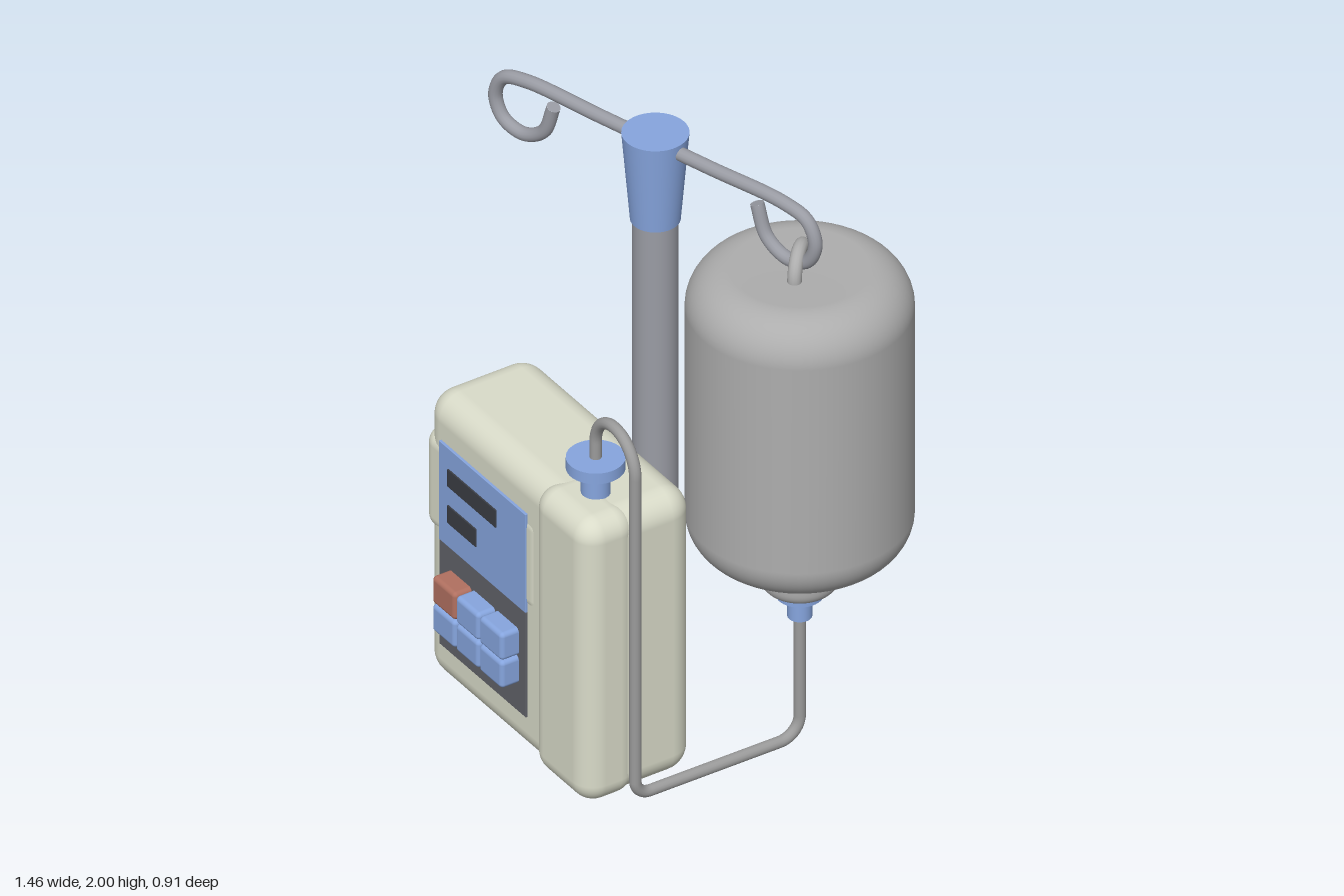
import * as THREE from 'three';
import { RoundedBoxGeometry } from 'three/addons/geometries/RoundedBoxGeometry.js';

const mat = (color) => new THREE.MeshStandardMaterial({ color });
const V = (x, y, z) => new THREE.Vector3(x, y, z);

export function createModel() {
  const model = new THREE.Group();
  const cream = mat(0xd9dbc9), blue = mat(0x86a5de), red = mat(0xb07060);
  const dark = mat(0x606168), black = mat(0x3a3d44);
  const metal = mat(0x9a9ca4), glass = mat(0xadadad), hose = mat(0x9b9b9b);

  function add(parent, name, geometry, material, x = 0, y = 0, z = 0) {
    const mesh = new THREE.Mesh(geometry, material);
    mesh.name = name;
    mesh.position.set(x, y, z);
    parent.add(mesh);
    return mesh;
  }
  // Upright cylinder between two heights
  const post = (parent, name, rTop, rBottom, y0, y1, material, x, z) =>
    add(parent, name, new THREE.CylinderGeometry(rTop, rBottom, y1 - y0, 40), material, x, (y0 + y1) / 2, z);
  // Box given by its limits, with rounded edges
  const block = (parent, name, [x0, x1], [y0, y1], [z0, z1], r, material) =>
    add(parent, name, new RoundedBoxGeometry(x1 - x0, y1 - y0, z1 - z0, 5, r), material,
      (x0 + x1) / 2, (y0 + y1) / 2, (z0 + z1) / 2);
  // Straight runs joined by round bends
  function bentPath(points, radii) {
    const path = new THREE.CurvePath();
    let from = points[0];
    for (let i = 1; i < points.length - 1; i++) {
      const p = points[i], r = radii[i - 1];
      const a = points[i - 1].clone().sub(p).normalize();
      const b = points[i + 1].clone().sub(p).normalize();
      const at = (d, k) => p.clone().addScaledVector(d, r * k);
      path.add(new THREE.LineCurve3(from, at(a, 1)));
      path.add(new THREE.CubicBezierCurve3(at(a, 1), at(a, 0.448), at(b, 0.448), at(b, 1)));
      from = at(b, 1);
    }
    path.add(new THREE.LineCurve3(from, points[points.length - 1]));
    return path;
  }

  // Pole and its cap
  const px = -0.125, pz = -0.172;
  post(model, 'pole', 0.067, 0.067, 0, 1.72, metal, px, pz);
  post(model, 'poleCap', 0.098, 0.073, 1.7, 2, blue, px, pz);

  // Crossbar with a curled hook at each end
  const hanger = new THREE.Group();
  hanger.name = 'hanger';
  hanger.position.set(px, 0, pz);
  hanger.rotation.y = -0.125;
  model.add(hanger);
  const hook = [[0.2, 1.965], [0.48, 1.965], [0.565, 1.94], [0.595, 1.87],
    [0.565, 1.8], [0.49, 1.778], [0.415, 1.82], [0.378, 1.92]];
  const barPoints = [
    ...hook.map(([x, y]) => V(-x, y, 0)).reverse(),
    ...hook.map(([x, y]) => V(x, y, 0)),
  ];
  const bar = new THREE.CatmullRomCurve3(barPoints);
  add(hanger, 'hookBar', new THREE.TubeGeometry(bar, 180, 0.021, 14), metal);
  for (const t of [0, 1]) {
    const end = bar.getPoint(t), out = bar.getTangent(t).multiplyScalar(t ? 1 : -1);
    const cap = add(hanger, 'hookEnd', new THREE.CircleGeometry(0.021, 14), metal, end.x, end.y, end.z);
    cap.quaternion.setFromUnitVectors(V(0, 0, 1), out);
  }

  // Bottle, lathed from base of neck to the top
  const bx = 0.397, bz = -0.122;
  const outline = new THREE.Path();
  outline.moveTo(0, 0.64);
  outline.lineTo(0.07, 0.64);
  outline.quadraticCurveTo(0.118, 0.645, 0.118, 0.69);
  outline.lineTo(0.12, 0.735);
  outline.quadraticCurveTo(0.124, 0.772, 0.16, 0.782);
  outline.lineTo(0.2, 0.782);
  outline.absarc(0.2, 0.912, 0.13, -Math.PI / 2, 0, false);
  outline.lineTo(0.33, 1.62);
  outline.absarc(0.2, 1.62, 0.13, 0, Math.PI / 2, false);
  outline.lineTo(0.09, 1.748);
  outline.lineTo(0, 1.745);
  add(model, 'bottle', new THREE.LatheGeometry(outline.getPoints(10), 56), glass, bx, 0, bz);
  const ring = add(model, 'bottleLoop', new THREE.TorusGeometry(0.07, 0.021, 14, 32, Math.PI), glass, bx, 1.75, bz);
  ring.rotation.y = -1.22;

  // Drip connector under the bottle
  post(model, 'bottleFlange', 0.07, 0.07, 0.615, 0.645, blue, bx, bz);
  post(model, 'bottleCollar', 0.052, 0.038, 0.595, 0.615, blue, bx, bz);
  post(model, 'bottleNozzle', 0.036, 0.036, 0.54, 0.6, blue, bx, bz);

  // Connector on top of the pump
  const cx = -0.032, cz = 0.292;
  post(model, 'pumpNozzle', 0.043, 0.043, 1.03, 1.12, blue, cx, cz);
  post(model, 'pumpCollar', 0.062, 0.043, 1.115, 1.14, blue, cx, cz);
  post(model, 'pumpFlange', 0.086, 0.086, 1.138, 1.175, blue, cx, cz);

  // Hose from the bottle, under and up, over into the pump
  const hosePath = bentPath([
    V(bx, 0.55, bz), V(bx, 0.125, bz), V(0.165, 0.125, 0.39),
    V(0.165, 1.338, 0.39), V(cx, 1.338, cz), V(cx, 1.15, cz),
  ], [0.07, 0.05, 0.108, 0.108]);
  add(model, 'hose', new THREE.TubeGeometry(hosePath, 320, 0.018, 14), hose);

  // Pump housing, turned away from the pole
  const pump = new THREE.Group();
  pump.name = 'pump';
  pump.position.set(-0.267, 0, 0.125);
  pump.rotation.y = -0.419;
  model.add(pump);
  block(pump, 'housing', [-0.433, 0.433], [0.075, 1.053], [-0.191, 0.174], 0.08, cream);
  block(pump, 'door', [0.145, 0.437], [0.073, 1.055], [0.0, 0.193], 0.07, cream);
  block(pump, 'displaySurround', [-0.436, 0.17], [0.575, 0.918], [0.06, 0.177], 0.05, cream);

  // Control panel and display
  block(pump, 'displayPlate', [-0.343, 0.106], [0.575, 0.918], [0.15, 0.182], 0.002, blue);
  block(pump, 'keypadPlate', [-0.343, 0.106], [0.21, 0.575], [0.15, 0.18], 0.002, dark);
  block(pump, 'largeReadout', [-0.294, -0.042], [0.787, 0.848], [0.17, 0.186], 0.002, black);
  block(pump, 'smallReadout', [-0.294, -0.146], [0.66, 0.722], [0.17, 0.186], 0.002, black);

  // Keys
  for (let row = 0; row < 2; row++) {
    for (let col = 0; col < 3; col++) {
      const x = -0.293 + col * 0.122, y = 0.308 + row * 0.097;
      const isStop = row === 1 && col === 0;
      block(pump, isStop ? 'stopKey' : 'key', [x, x + 0.119], [y, y + 0.094], [0.16, 0.24], 0.014, isStop ? red : blue);
    }
  }
  return model;
}
